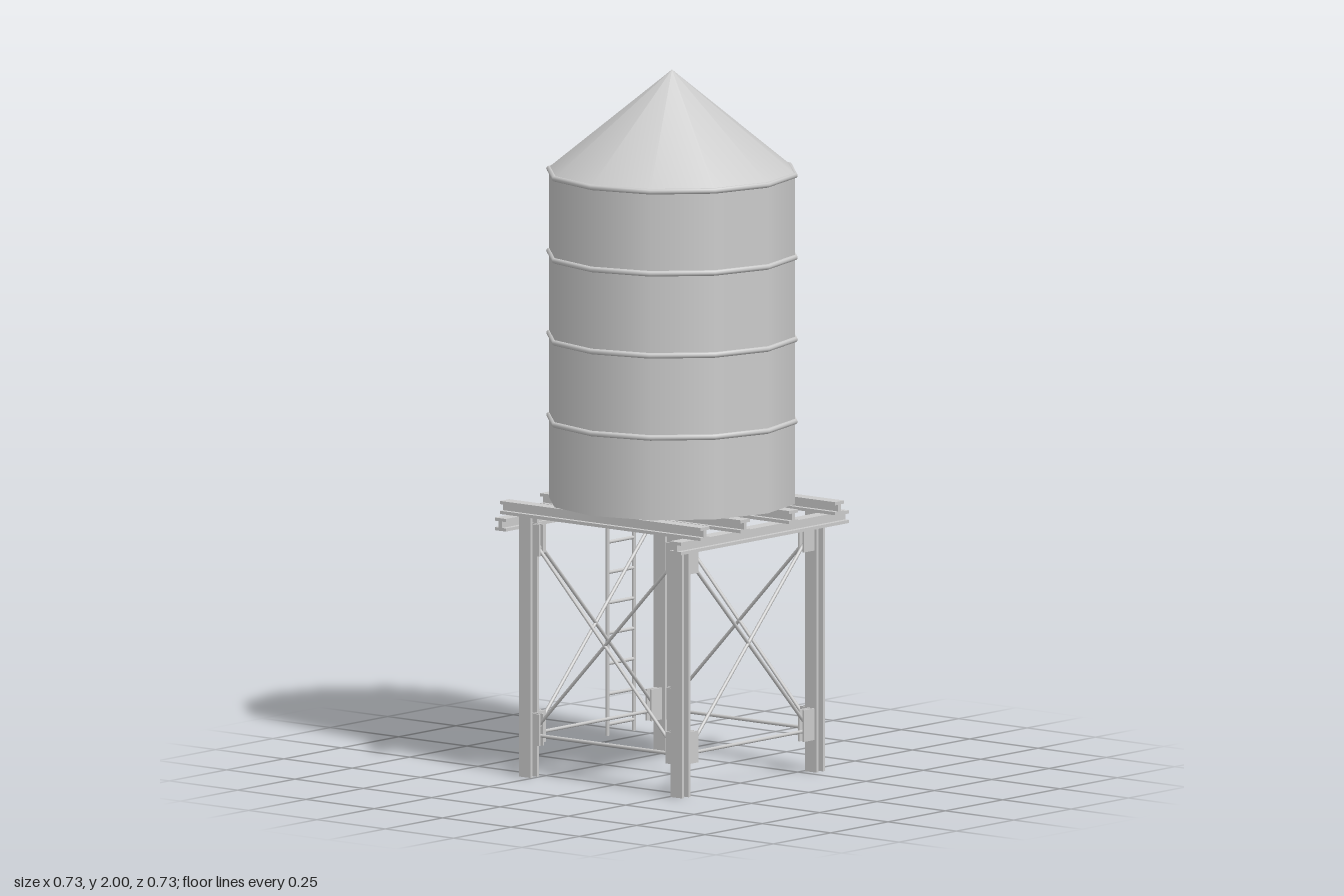
import * as THREE from 'three';

const steel = new THREE.MeshStandardMaterial({ color: 0xcccccc });
const V = (x, y, z) => new THREE.Vector3(x, y, z);

function add(parent, name, geometry, x = 0, y = 0, z = 0) {
  const mesh = new THREE.Mesh(geometry, steel);
  mesh.name = name;
  mesh.position.set(x, y, z);
  parent.add(mesh);
  return mesh;
}

// I-section of width w and height h, extruded along z and centred
function iBeam(w, h, length, flange = 0.009, web = 0.012) {
  const a = w / 2, b = h / 2, c = web / 2, d = b - flange;
  const shape = new THREE.Shape([
    [-a, -b], [a, -b], [a, -d], [c, -d], [c, d], [a, d],
    [a, b], [-a, b], [-a, d], [-c, d], [-c, -d], [-a, -d],
  ].map(([x, y]) => new THREE.Vector2(x, y)));
  return new THREE.ExtrudeGeometry(shape, { depth: length, bevelEnabled: false })
    .translate(0, 0, -length / 2);
}

// Round bar between two points
function rod(parent, name, from, to, radius, sides = 8) {
  const dir = to.clone().sub(from);
  const mesh = add(parent, name, new THREE.CylinderGeometry(radius, radius, dir.length(), sides));
  mesh.position.copy(from).add(to).multiplyScalar(0.5);
  mesh.quaternion.setFromUnitVectors(V(0, 1, 0), dir.normalize());
  return mesh;
}

// Twelve-sided tank with hoops and a conical roof
function makeTank() {
  const tank = new THREE.Group();
  tank.name = 'tank';
  const bottom = 0.776, eave = 1.71, radius = 0.35;
  add(tank, 'tankWall', new THREE.CylinderGeometry(radius, radius, eave - bottom, 12), 0, (bottom + eave) / 2, 0);
  add(tank, 'roof', new THREE.ConeGeometry(radius + 0.004, 2 - eave, 12), 0, (eave + 2) / 2, 0);
  for (const y of [1.01, 1.243, 1.476, 1.709]) {
    add(tank, 'hoop', new THREE.TorusGeometry(radius, 0.008, 8, 12).rotateX(Math.PI / 2), 0, y, 0);
  }
  return tank;
}

// Cross-bracing for one face; s is half the leg spacing along the face
function makeBracing(halfSpan, plateInner, plateOuter, z) {
  const face = new THREE.Group();
  face.name = 'bracing';
  const width = plateOuter - plateInner;
  for (const side of [-1, 1]) {
    for (const y of [0.137, 0.675]) {
      // A pair of thin plates clamps the rod ends
      for (const dz of [-0.008, 0.008]) {
        add(face, 'gussetPlate', new THREE.BoxGeometry(width, 0.09, 0.006), side * (plateInner + width / 2), y, z + dz);
      }
    }
    rod(face, 'diagonalRod', V(-side * halfSpan, 0.4 - halfSpan * 1.04, z), V(side * halfSpan, 0.4 + halfSpan * 1.04, z), 0.005);
    for (const y of [0.4 - halfSpan * 1.04, 0.4 + halfSpan * 1.04]) {
      add(face, 'rodPin', new THREE.CylinderGeometry(0.008, 0.008, 0.014, 10).rotateX(Math.PI / 2), side * halfSpan, y, z);
    }
  }
  rod(face, 'tieRod', V(-halfSpan, 0.12, z), V(halfSpan, 0.12, z), 0.005);
  return face;
}

// Legs, bracing and the two layers of beams
function makeStand() {
  const stand = new THREE.Group();
  stand.name = 'stand';
  const legX = 0.293, legZ = 0.277;
  const legHeight = 0.739, beamLength = 0.734;
  for (const x of [-legX, legX]) {
    for (const z of [-legZ, legZ]) {
      const leg = iBeam(0.042, 0.036, legHeight, 0.008, 0.008).rotateZ(Math.PI / 2).rotateX(Math.PI / 2);
      add(stand, 'leg', leg, x, legHeight / 2, z);
    }
  }
  for (const z of [-0.32, 0.32]) {
    add(stand, 'lowerBeam', iBeam(0.04, 0.036, beamLength).rotateY(Math.PI / 2), 0, 0.72, z);
  }
  for (const x of [-legX, -0.118, 0.092, legX]) {
    add(stand, 'upperBeam', iBeam(0.04, 0.037, beamLength), x, 0.757, 0);
  }
  for (const side of [-1, 1]) {
    stand.add(makeBracing(0.25, 0.23, 0.276, side * 0.279));
    const flank = makeBracing(0.243, 0.231, 0.274, side * legX);
    flank.rotation.y = Math.PI / 2;
    stand.add(flank);
  }
  return stand;
}

// Ladder hooked over the back beam
function makeLadder() {
  const ladder = new THREE.Group();
  ladder.name = 'ladder';
  const left = 0.25, right = 0.135, z = -0.349;
  for (const x of [right, left]) {
    const path = new THREE.CurvePath();
    const points = [V(x, 0.055, z), V(x, 0.744, z), V(x, 0.752, z + 0.008), V(x, 0.752, -0.337), V(x, 0.746, -0.331), V(x, 0.735, -0.331)];
    for (let i = 1; i < points.length; i++) path.add(new THREE.LineCurve3(points[i - 1], points[i]));
    // Straight rail, then the short hook at the top
    rod(ladder, 'rail', points[0], points[1], 0.0055);
    add(ladder, 'railFoot', new THREE.CircleGeometry(0.0055, 8).rotateX(Math.PI / 2), x, 0.055, z);
    const hook = new THREE.CatmullRomCurve3(points.slice(1), false, 'centripetal');
    add(ladder, 'railHook', new THREE.TubeGeometry(hook, 16, 0.0055, 8));
  }
  for (let i = 0; i < 8; i++) {
    const y = 0.087 + i * 0.0862;
    rod(ladder, 'rung', V(right, y, z), V(left, y, z), 0.005);
  }
  return ladder;
}

export function createModel() {
  const model = new THREE.Group();
  model.name = 'waterTower';
  model.add(makeTank(), makeStand(), makeLadder());
  return model;
}
